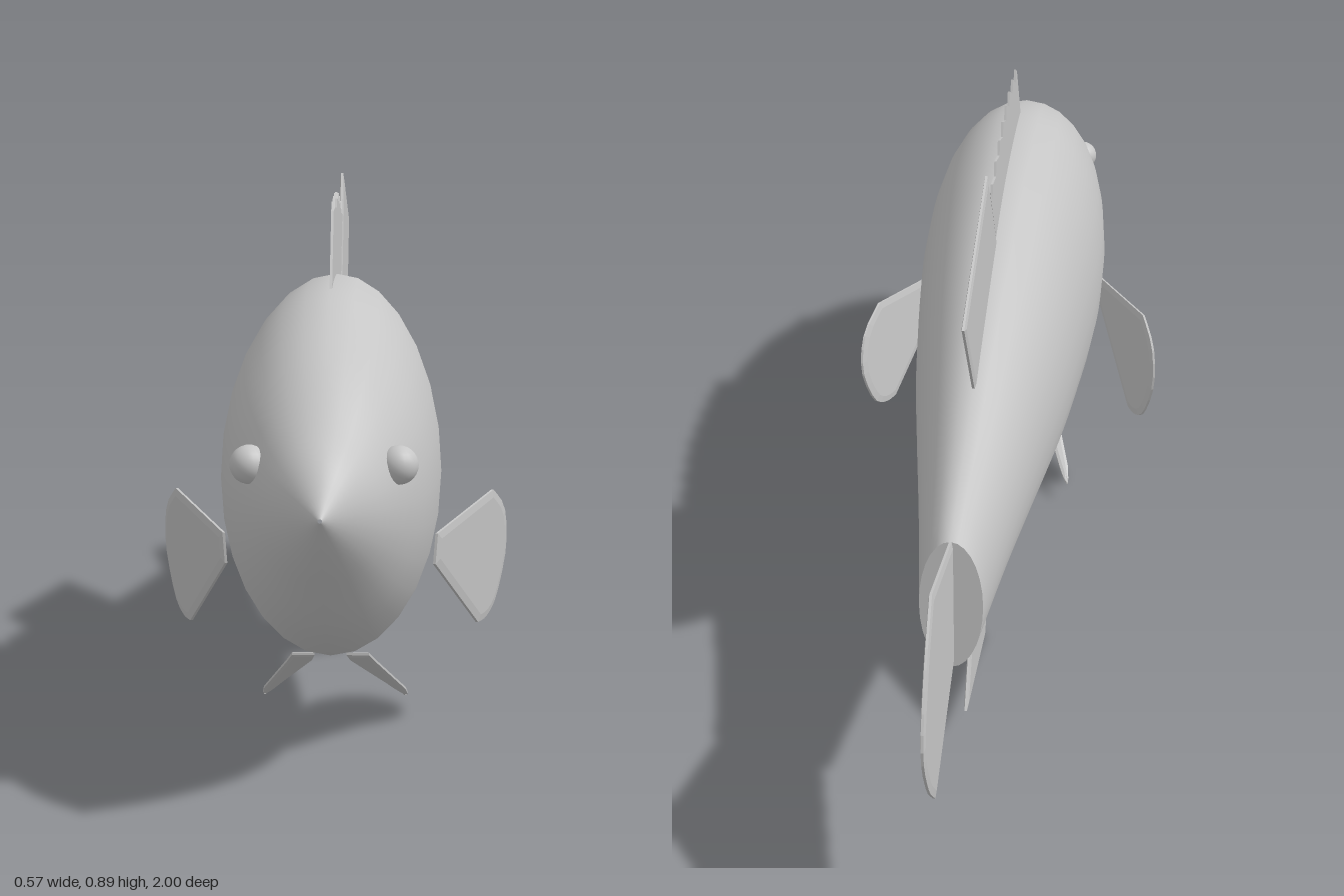
import * as THREE from 'three';

const skin = new THREE.MeshStandardMaterial({ color: 0xc6c6c6 });
skin.name = 'pale grey';

// Body stations: z, top y, bottom y, half width
const STATIONS = [
  [1.0, 0.468, 0.462, 0.003], [0.95, 0.53, 0.405, 0.05], [0.89, 0.577, 0.348, 0.088],
  [0.76, 0.668, 0.247, 0.14], [0.58, 0.733, 0.175, 0.167], [0.41, 0.746, 0.15, 0.171],
  [0.2, 0.735, 0.166, 0.156], [0, 0.697, 0.196, 0.136], [-0.2, 0.645, 0.235, 0.109],
  [-0.42, 0.58, 0.274, 0.078], [-0.64, 0.535, 0.3, 0.05],
];

function bodyGeometry(rings = 48, sides = 28) {
  const upper = new THREE.CatmullRomCurve3(STATIONS.map(([z, t, b]) => new THREE.Vector3(t, b, z)));
  const width = new THREE.CatmullRomCurve3(STATIONS.map(([z, , , w]) => new THREE.Vector3(w, 0, z)));
  const pos = [], index = [];
  for (let i = 0; i <= rings; i++) {
    const p = upper.getPoint(i / rings), w = width.getPoint(i / rings).x;
    for (let j = 0; j < sides; j++) {
      const a = (j / sides) * Math.PI * 2;
      pos.push(w * Math.sin(a), (p.x + p.y) / 2 + ((p.x - p.y) / 2) * Math.cos(a), p.z);
      if (i === rings) continue;
      const k = (j + 1) % sides, r = i * sides, s = r + sides;
      index.push(r + j, s + j, r + k, r + k, s + j, s + k);
    }
  }
  const g = new THREE.BufferGeometry();
  g.setAttribute('position', new THREE.Float32BufferAttribute(pos, 3));
  g.setIndex(index);
  // Make sure the faces point outward
  const [a, b, c] = [10 * sides, 11 * sides, 10 * sides + 1].map((n) => new THREE.Vector3().fromArray(pos, n * 3));
  if (b.sub(a).cross(c.sub(a)).y < 0) g.setIndex(index.reverse());
  g.computeVertexNormals();
  return g;
}

// Thin fin plate from an outline of [z, y] points, in the plane x = 0
function finGeometry(points, bevel = 0.012) {
  const shape = new THREE.Shape(points.map(([z, y]) => new THREE.Vector2(-z, y)));
  const g = new THREE.ExtrudeGeometry(shape, {
    depth: 0.004, bevelEnabled: bevel > 0, bevelThickness: 0.002,
    bevelSize: bevel, bevelOffset: -bevel, bevelSegments: 1,
  });
  return g.translate(0, 0, -0.002).rotateY(Math.PI / 2);
}

// Shift the vertices of a geometry by a rule
function reshape(g, rule) {
  const p = g.attributes.position, v = new THREE.Vector3();
  for (let i = 0; i < p.count; i++) {
    rule(v.fromBufferAttribute(p, i));
    p.setXYZ(i, v.x, v.y, v.z);
  }
  g.computeVertexNormals();
  return g;
}

// Smooth run of [z, y] points for a rounded fin edge
const arc = (points, n = 12) =>
  new THREE.SplineCurve(points.map((p) => new THREE.Vector2(...p))).getPoints(n).map((p) => [p.x, p.y]);

export function createModel() {
  const fish = new THREE.Group();
  fish.name = 'fish';
  const add = (name, geometry) => {
    const mesh = new THREE.Mesh(geometry, skin);
    mesh.name = name;
    fish.add(mesh);
    return mesh;
  };

  add('body', bodyGeometry());

  // Flat end of the body behind the tail root
  const cap = add('tailRootCap', new THREE.CircleGeometry(1, 28));
  cap.scale.set(0.05, 0.1175, 1);
  cap.rotation.y = Math.PI;
  cap.position.set(0, 0.4175, -0.64);

  // Spiny front dorsal fin with swept teeth
  const spines = [[0.5, 0.68], [0.54, 0.735], [0.455, 0.855]];
  const teeth = 8;
  for (let i = 0; i < teeth; i++) {
    const t = i / (teeth - 1), z = 0.435 - 0.435 * t;
    const y = 0.868 + 0.05 * t - 0.082 * t * t;
    spines.push([z, y], [z - 0.008, y - 0.025]);
  }
  spines.push([-0.05, 0.845], [0.053, 0.71], [0.09, 0.65]);
  add('spinyDorsalFin', finGeometry(spines, 0));

  add('softDorsalFin', finGeometry([[0.09, 0.66], [-0.09, 0.893], [-0.45, 0.797], [-0.27, 0.565]]));
  add('analFin', finGeometry([[0.02, 0.235], [-0.155, 0.005], [-0.45, 0.064], [-0.27, 0.29]]));

  // Fan tail with a rounded trailing edge
  add('tailFin', finGeometry([
    [-0.62, 0.53], [-0.64, 0.535],
    ...arc([[-0.877, 0.604], [-0.95, 0.525], [-1, 0.417], [-0.95, 0.31], [-0.877, 0.232]], 16),
    [-0.64, 0.302], [-0.62, 0.307],
  ]));

  for (const side of [1, -1]) {
    const name = side > 0 ? 'left' : 'right';

    const eye = add(name + 'Eye', new THREE.SphereGeometry(0.028, 20, 14));
    eye.position.set(side * 0.106, 0.517, 0.842);

    // Pectoral fin leaning outward toward the rear
    const pectoral = finGeometry([
      [0.58, 0.32], [0.58, 0.368],
      ...arc([[0.37, 0.4], [0.315, 0.36], [0.295, 0.29], [0.32, 0.215], [0.355, 0.188], [0.39, 0.185]], 14),
    ]);
    add(name + 'PectoralFin', reshape(pectoral, (v) => {
      v.x += side * (0.163 + 0.43 * (0.58 - v.z) + 0.07 * (v.y - 0.36));
    }));

    // Pelvic fin: outline of [z, x], laid flat and sloped down to the rear
    const pelvic = finGeometry([
      [0.56, side * 0.025], [0.53, side * 0.03],
      ...arc([[0.39, side * 0.085], [0.33, side * 0.108], [0.315, side * 0.12], [0.35, side * 0.117]], 9),
      [0.52, side * 0.07], [0.56, side * 0.06],
    ], 0.005);
    add(name + 'PelvicFin', reshape(pelvic, (v) => {
      const thickness = v.x;
      v.x = v.y;
      v.y = 0.157 - 0.52 * (0.53 - v.z) - thickness;
    }));
  }
  return fish;
}
